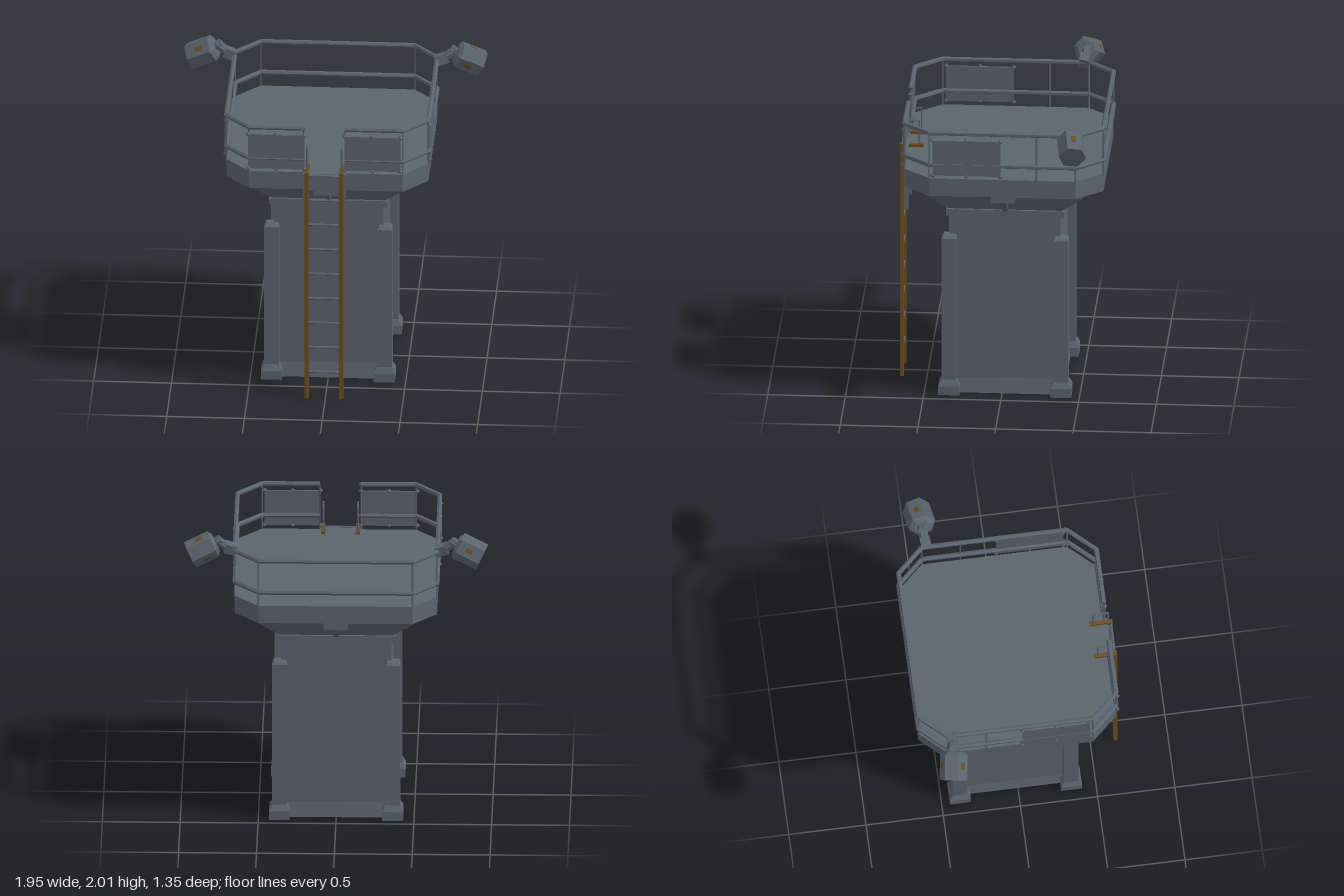
import * as THREE from 'three';

export function createModel() {
  const steel = new THREE.MeshStandardMaterial({ color: 0x5b646e, flatShading: true });
  steel.name = 'steel grey';
  const rust = new THREE.MeshStandardMaterial({ color: 0x6e4c1f, flatShading: true });
  rust.name = 'rust brown';

  const model = new THREE.Group();
  model.name = 'watchtower';
  const tower = new THREE.Group();
  tower.position.z = -0.02;
  model.add(tower);

  function add(parent, name, geometry, x = 0, y = 0, z = 0, material = steel) {
    const mesh = new THREE.Mesh(geometry, material);
    mesh.name = name;
    mesh.position.set(x, y, z);
    parent.add(mesh);
    return mesh;
  }
  // box given by its extents
  function box(parent, name, x0, x1, y0, y1, z0, z1, material) {
    return add(parent, name, new THREE.BoxGeometry(x1 - x0, y1 - y0, z1 - z0),
      (x0 + x1) / 2, (y0 + y1) / 2, (z0 + z1) / 2, material);
  }
  // square frustum with half widths at bottom and top
  function frustum(parent, name, h0, h1, y0, y1, x = 0, z = 0) {
    const g = new THREE.CylinderGeometry(h1 * Math.SQRT2, h0 * Math.SQRT2, y1 - y0, 4).rotateY(Math.PI / 4);
    return add(parent, name, g, x, (y0 + y1) / 2, z);
  }
  // straight bar between two points
  const up = new THREE.Vector3(0, 1, 0);
  function bar(parent, name, a, b, r, sides = 6) {
    const p = new THREE.Vector3(...a), q = new THREE.Vector3(...b);
    const g = new THREE.CylinderGeometry(r, r, p.distanceTo(q), sides);
    if (sides === 4) g.rotateY(Math.PI / 4);
    const m = add(parent, name, g);
    m.position.copy(p).add(q).multiplyScalar(0.5);
    m.quaternion.setFromUnitVectors(up, q.sub(p).normalize());
    return m;
  }

  // shaft, flared foot and collar
  frustum(tower, 'footSkirt', 0.375, 0.355, 0, 0.1);
  frustum(tower, 'shaft', 0.355, 0.355, 0.1, 1.22);
  frustum(tower, 'collar', 0.38, 0.38, 1.22, 1.265);
  frustum(tower, 'flare', 0.365, 0.51, 1.265, 1.41);
  frustum(tower, 'flareRim', 0.51, 0.51, 1.41, 1.46);

  // corner pillars
  for (const sx of [-1, 1]) for (const sz of [-1, 1]) {
    const x = sx * 0.363, z = sz * 0.36;
    frustum(tower, 'pillarBase', 0.068, 0.068, 0, 0.06, x, z);
    frustum(tower, 'pillarBaseTaper', 0.068, 0.048, 0.06, 0.1, x, z);
    frustum(tower, 'pillar', 0.048, 0.048, 0.1, 1.072, x, z);
    frustum(tower, 'pillarCap', 0.048, 0.036, 1.072, 1.087, x, z);
  }

  // diagonal struts with end brackets, one on each side
  for (let i = 0; i < 4; i++) {
    const side = new THREE.Group();
    side.name = 'strutAssembly';
    side.rotation.y = i * Math.PI / 2;
    tower.add(side);
    bar(side, 'strut', [0, 1.265, 0.36], [0, 1.43, 0.595], 0.026, 4);
    box(side, 'strutBracket', -0.078, 0.078, 1.41, 1.465, 0.555, 0.622);
  }

  // deck: rectangle with cut corners
  const X = 0.65, Z = 0.64, CX = 0.495, CZ = 0.47;
  const corners = [[CX, Z], [X, CZ], [X, -CZ], [CX, -Z], [-CX, -Z], [-X, -CZ], [-X, CZ], [-CX, Z]];
  const outline = new THREE.Shape(corners.map(([x, z]) => new THREE.Vector2(x, -z)));
  const deck = new THREE.ExtrudeGeometry(outline, { depth: 0.12, bevelEnabled: false }).rotateX(-Math.PI / 2);
  add(tower, 'deck', deck, 0, 1.46, 0);

  // railing, open at the ladder
  const path = [[0.125, Z], ...corners, [-0.14, Z]];
  for (const [y, r] of [[1.893, 0.016], [1.675, 0.016]]) {
    for (let i = 0; i < path.length - 1; i++) {
      const [a, b] = [path[i], path[i + 1]];
      bar(tower, 'handrail', [a[0], y, a[1]], [b[0], y, b[1]], r);
      add(tower, 'railJoint', new THREE.IcosahedronGeometry(r, 0), b[0], y, b[1]);
    }
  }
  for (const [x, z] of [...path, [X, -0.22], [-X, -0.22]])
    bar(tower, 'railPost', [x, 1.57, z], [x, 1.893, z], 0.006);

  // screens tied to the railing
  function screen(x, z, turn) {
    const g = new THREE.Group();
    g.name = 'screen';
    g.position.set(x, 1.725, z);
    g.rotation.y = turn;
    tower.add(g);
    add(g, 'screenPlate', new THREE.BoxGeometry(0.36 + (turn ? 0.075 : 0), 0.24, 0.012));
    const w = turn ? 0.2175 : 0.18;
    for (const dx of [-w, 0, w]) for (const dy of [-0.12, 0.12])
      add(g, 'screenTie', new THREE.OctahedronGeometry(0.018), dx, dy, 0);
  }
  screen(-0.32, Z + 0.006, 0);
  screen(0.30, Z + 0.006, 0);
  screen(X + 0.006, 0.23, Math.PI / 2);
  screen(-X - 0.006, 0.23, -Math.PI / 2);

  // ladder
  const ladder = new THREE.Group();
  ladder.name = 'ladder';
  model.add(ladder);
  for (const x of [-0.12, 0.102]) {
    box(ladder, 'ladderRail', x - 0.013, x + 0.013, 0, 1.6, 0.65, 0.675, rust);
    box(ladder, 'ladderTopArm', x - 0.013, x + 0.013, 1.583, 1.6, 0.525, 0.65, rust);
    const loop = [[x, 1.6, 0.645], [x, 1.76, 0.645], [x, 1.76, 0.55], [x, 1.6, 0.55]];
    for (let i = 0; i < 3; i++) bar(ladder, 'grabHandle', loop[i], loop[i + 1], 0.006);
    const out = x < 0 ? -0.14 : 0.124;
    box(ladder, 'ladderSidePlate', out - 0.007, out + 0.007, 1.155, 1.58, 0.615, 0.648);
    const inn = x < 0 ? -0.09 : 0.07;
    box(ladder, 'ladderHanger', inn - 0.013, inn + 0.013, 1.485, 1.58, 0.615, 0.652);
  }
  box(ladder, 'ladderBackPlate', -0.14, 0.124, 1.46, 1.58, 0.615, 0.642);
  for (let i = 0; i < 9; i++) {
    const y = 0.185 + i * 0.174;
    bar(ladder, 'rung', [-0.12, y, 0.662], [0.102, y, 0.662], 0.008);
  }

  // floodlights, mirrored left and right
  for (const s of [-1, 1]) {
    const light = new THREE.Group();
    light.name = s > 0 ? 'leftFloodlight' : 'rightFloodlight';
    model.add(light);
    bar(light, 'lightMount', [s * 0.64, 1.885, -0.455], [s * 0.715, 1.91, -0.465], 0.045, 4);
    bar(light, 'lightNeck', [s * 0.70, 1.91, -0.465], [s * 0.775, 1.965, -0.475], 0.03);
    bar(light, 'lightYoke', [s * 0.735, 1.965, -0.475], [s * 0.81, 1.92, -0.475], 0.03);

    // lamp local axes: +y points along the beam
    const lamp = new THREE.Group();
    lamp.name = 'lamp';
    lamp.position.set(s * 0.863, 1.895, -0.48);
    lamp.quaternion.setFromUnitVectors(up, new THREE.Vector3(s * 0.9, -0.42, -0.13).normalize());
    light.add(lamp);
    add(lamp, 'lampHousing', new THREE.CylinderGeometry(0.09, 0.09, 0.165, 6));
    add(lamp, 'lampBack', new THREE.CylinderGeometry(0.09, 0.06, 0.02, 6), 0, -0.092, 0);
    // rust patches on the flat sides
    for (const k of [1, 3, 5]) {
      const a = k * Math.PI / 3 - Math.PI / 6, d = 0.0785;
      const patch = add(lamp, 'rustPatch', new THREE.BoxGeometry(0.03, 0.045, 0.003),
        Math.sin(a) * d, -0.01, Math.cos(a) * d, rust);
      patch.rotation.y = a;
    }
  }
  return model;
}
